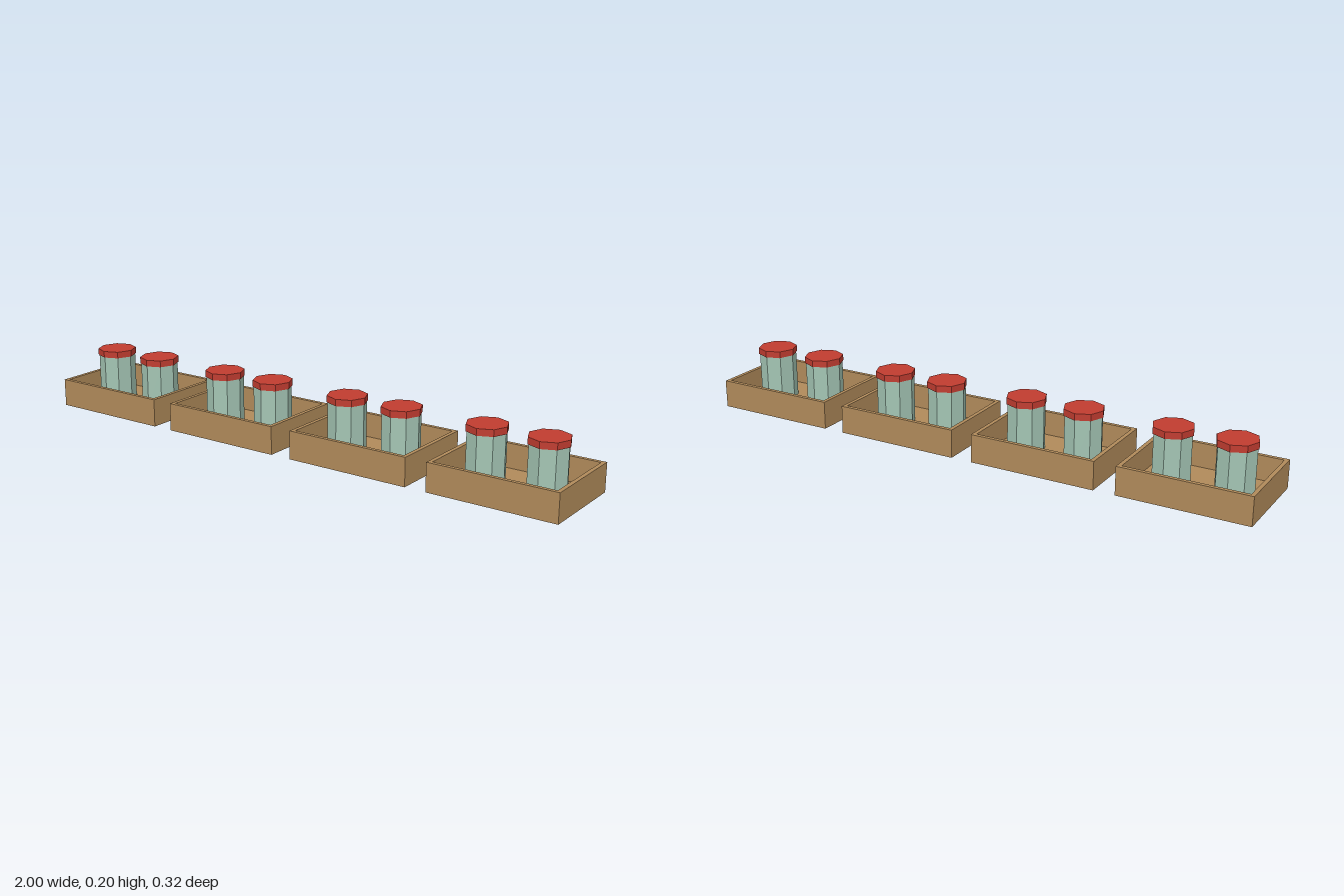
import * as THREE from 'three';

const W = 0.444, D = 0.324, H = 0.098, WALL = 0.014, FLOOR = 0.015;
const LID_Y = 0.18, TOP_Y = 0.203;

const material = (color) => new THREE.MeshStandardMaterial({ color, flatShading: true });

function rectangle(target, w, d) {
  target.moveTo(-w / 2, -d / 2);
  target.lineTo(w / 2, -d / 2);
  target.lineTo(w / 2, d / 2);
  target.lineTo(-w / 2, d / 2);
  target.closePath();
  return target;
}

// Rectangular wall frame, open at the top
function crateWalls() {
  const shape = rectangle(new THREE.Shape(), W, D);
  shape.holes.push(rectangle(new THREE.Path(), W - 2 * WALL, D - 2 * WALL));
  return new THREE.ExtrudeGeometry(shape, { depth: H, bevelEnabled: false }).rotateX(-Math.PI / 2);
}

// Eight-sided prism between two heights
function octagon(radius, y0, y1) {
  return new THREE.CylinderGeometry(radius, radius, y1 - y0, 8).translate(0, (y0 + y1) / 2, 0);
}

export function createModel() {
  const model = new THREE.Group();
  model.name = 'jarCrates';

  const wood = material(0xb08a5a);
  const glass = material(0xa3c4b3);
  const red = material(0xc03c30);

  const wallsGeo = crateWalls();
  const floorGeo = new THREE.BoxGeometry(W - 2 * WALL, FLOOR, D - 2 * WALL).translate(0, FLOOR / 2, 0);
  const jarGeo = octagon(0.0655, FLOOR, LID_Y);
  const lidGeo = octagon(0.0688, LID_Y, TOP_Y);

  const add = (parent, name, geometry, mat) => {
    const mesh = new THREE.Mesh(geometry, mat);
    mesh.name = name;
    parent.add(mesh);
  };

  // Row of four crates, each holding two lidded jars
  const pitch = (2 - W) / 3;
  for (let i = 0; i < 4; i++) {
    const crate = new THREE.Group();
    crate.name = 'crate';
    crate.position.x = (i - 1.5) * pitch;
    add(crate, 'crateWalls', wallsGeo, wood);
    add(crate, 'crateFloor', floorGeo, wood);

    for (const side of [-1, 1]) {
      const jar = new THREE.Group();
      jar.name = 'jar';
      jar.position.x = side * 0.105;
      add(jar, 'jarBody', jarGeo, glass);
      add(jar, 'jarLid', lidGeo, red);
      crate.add(jar);
    }
    model.add(crate);
  }
  return model;
}
